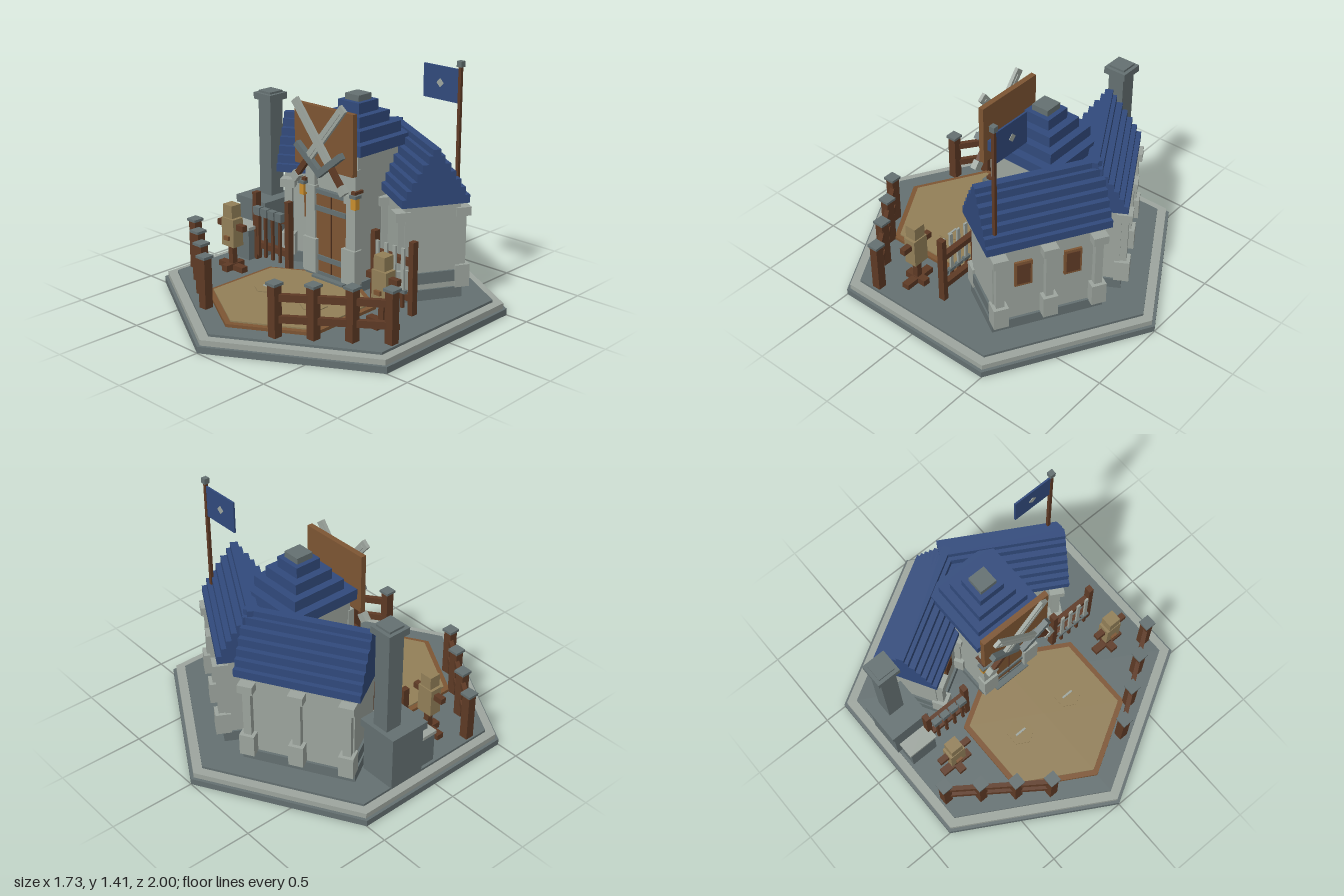
import * as THREE from 'three';

const mat = (name, color) => {
  const m = new THREE.MeshStandardMaterial({ color });
  m.name = name;
  return m;
};

export function createModel() {
  const slate = mat('slate', 0x647071), stone = mat('paleStone', 0x9da59e), wood = mat('wood', 0x7d5533),
    darkWood = mat('darkWood', 0x5e3a25), sand = mat('sand', 0x927f58), blue = mat('blueRoof', 0x314a7c),
    gold = mat('lanternGlow', 0xc98d2e);
  const model = new THREE.Group();
  model.name = 'trainingHall';

  const group = (name, parent = model, x = 0, y = 0, z = 0) => {
    const g = new THREE.Group();
    g.name = name;
    g.position.set(x, y, z);
    parent.add(g);
    return g;
  };
  // box given by centre x, z and bottom/top heights
  const box = (parent, name, m, x, z, y0, y1, w, d) => {
    const mesh = new THREE.Mesh(new THREE.BoxGeometry(w, y1 - y0, d), m);
    mesh.name = name;
    mesh.position.set(x, (y0 + y1) / 2, z);
    parent.add(mesh);
    return mesh;
  };
  const hex = (name, m, r0, r1, y0, y1, x = 0, z = 0) => {
    const g = new THREE.CylinderGeometry(r1, r0, y1 - y0, 6).toNonIndexed();
    g.computeVertexNormals();
    const mesh = new THREE.Mesh(g, m);
    mesh.name = name;
    mesh.position.set(x, (y0 + y1) / 2, z);
    model.add(mesh);
  };

  // Ground slabs and sand arena
  hex('lowerSlab', slate, 1, 1, 0, 0.037);
  hex('paleSlab', stone, 0.98, 0.98, 0.037, 0.068);
  hex('courtyard', slate, 0.92, 0.92, 0.068, 0.082);
  hex('arenaRim', wood, 0.48, 0.48, 0.08, 0.1, 0, 0.32);
  hex('arenaSand', sand, 0.445, 0.445, 0.1, 0.108, 0, 0.32);
  for (const s of [-1, 1]) {
    hex('sparringMark', sand, 0.08, 0.08, 0.108, 0.113, s * 0.18, 0.32);
    box(model, 'markLine', stone, s * 0.18, 0.32, 0.113, 0.117, 0.07, 0.012);
  }

  // Two wings set in a chevron, each with pillars and a stepped roof
  for (const s of [-1, 1]) {
    const wing = group(s > 0 ? 'leftWing' : 'rightWing', model, s * 0.275, 0, -0.39);
    wing.rotation.y = -s * Math.PI / 6;
    box(wing, 'plinth', slate, 0, 0, 0.08, 0.145, 0.64, 0.35);
    box(wing, 'walls', stone, 0, 0, 0.145, 0.66, 0.62, 0.32);
    box(wing, 'endBand', slate, s * 0.312, 0, 0.18, 0.245, 0.02, 0.26);
    for (const side of [-1, 1]) for (const t of [-0.28, 0, 0.28]) {
      const pillar = group('pillar', wing, t, 0, side * 0.175);
      box(pillar, 'pillarBase', stone, 0, 0, 0.14, 0.27, 0.085, 0.085);
      box(pillar, 'pillarShaft', stone, 0, 0, 0.27, 0.56, 0.045, 0.045);
      box(pillar, 'pillarCap', stone, 0, 0, 0.555, 0.605, 0.085, 0.085);
    }
    for (const t of [-0.14, 0.14]) {
      box(wing, 'windowFrame', wood, t, -s * 0.164, 0.37, 0.53, 0.1, 0.02);
      box(wing, 'windowPane', darkWood, t, -s * 0.175, 0.385, 0.515, 0.075, 0.006);
    }
    [0.195, 0.168, 0.14, 0.11, 0.08, 0.045].forEach((hw, i) =>
      box(wing, 'roofStep', blue, 0, 0, 0.64 + i * 0.0467, 0.64 + (i + 1) * 0.0467, 0.7, hw * 2));
    box(wing, 'ridgeBar', blue, 0, 0, 0.92, 0.955, 0.7, 0.045);
  }

  // Central entrance tower
  const tower = group('tower', model, 0, 0, -0.21);
  box(tower, 'towerPlinth', slate, 0, 0, 0.08, 0.14, 0.4, 0.42);
  box(tower, 'towerWalls', stone, 0, 0, 0.14, 0.89, 0.37, 0.38);
  [0.22, 0.17, 0.125, 0.08].forEach((h, i) =>
    box(tower, 'towerRoofStep', blue, 0, -0.01, 0.88 + i * 0.0625, 0.88 + (i + 1) * 0.0625, h * 2, h * 2));
  box(tower, 'roofCap', slate, 0, -0.01, 1.13, 1.165, 0.105, 0.105);
  box(tower, 'door', wood, 0, 0.19, 0.11, 0.62, 0.235, 0.03);
  box(tower, 'doorSeam', darkWood, 0, 0.207, 0.11, 0.61, 0.007, 0.006);
  for (const y of [0.21, 0.505]) box(tower, 'doorBand', slate, 0, 0.208, y, y + 0.03, 0.235, 0.012);
  box(tower, 'lintel', slate, 0, 0.2, 0.61, 0.635, 0.26, 0.04);
  box(tower, 'doorStep', slate, 0, 0.22, 0.1, 0.12, 0.24, 0.05);
  box(tower, 'signBracket', darkWood, 0, 0.215, 0.84, 0.88, 0.3, 0.06);
  for (const s of [-1, 1]) {
    box(tower, 'doorPillar', stone, s * 0.155, 0.195, 0.14, 0.8, 0.07, 0.04);
    box(tower, 'doorPillarBase', stone, s * 0.15, 0.2, 0.13, 0.335, 0.1, 0.06);
    box(tower, 'doorPillarCap', stone, s * 0.155, 0.2, 0.6, 0.65, 0.09, 0.05);
    box(tower, 'lantern', gold, s * 0.198, 0.225, 0.585, 0.65, 0.034, 0.034);
    box(tower, 'lanternCap', slate, s * 0.198, 0.225, 0.65, 0.668, 0.048, 0.048);
    box(tower, 'lanternArm', darkWood, s * 0.19, 0.2, 0.668, 0.685, 0.03, 0.07);
  }

  // Sign board with crossed swords
  box(model, 'signBoard', wood, 0, 0.043, 0.78, 1.13, 0.44, 0.032);
  for (const s of [-1, 1]) {
    const sword = group('crossedSword', model, s * 0.093, 0.833, s > 0 ? 0.105 : 0.08);
    sword.rotation.z = s * 0.677;
    box(sword, 'blade', stone, 0, 0, 0, 0.42, 0.05, 0.02);
    box(sword, 'bladeRidge', stone, 0, 0, 0, 0.39, 0.016, 0.028);
    box(sword, 'guard', slate, 0, 0, -0.018, 0.018, 0.23, 0.034);
    box(sword, 'grip', darkWood, 0, 0, -0.13, -0.018, 0.032, 0.026);
    box(sword, 'pommel', stone, 0, 0, -0.18, -0.13, 0.05, 0.036);
  }

  // Forge and chimney
  const forge = group('forge', model, -0.695, 0, -0.16);
  box(forge, 'forgeBase', slate, 0, 0, 0.08, 0.38, 0.22, 0.22);
  box(forge, 'forgeSlab', slate, 0, 0, 0.38, 0.425, 0.25, 0.25);
  box(forge, 'chimneyShaft', slate, 0, -0.05, 0.42, 1.01, 0.1, 0.1);
  box(forge, 'chimneyCap', slate, 0, -0.05, 1.01, 1.05, 0.14, 0.14);
  box(forge, 'chimneyTop', slate, 0, -0.05, 1.05, 1.062, 0.1, 0.1);
  box(forge, 'hearth', slate, 0, 0.175, 0.08, 0.27, 0.17, 0.1);
  box(forge, 'hearthTop', stone, 0, 0.18, 0.27, 0.29, 0.19, 0.1);

  // Weapon racks: swords on one side, hammers on the other
  for (const s of [-1, 1]) {
    const rack = group('weaponRack', model, s * 0.47, 0, 0);
    for (const x of [-0.135, 0.135]) box(rack, 'rackPost', darkWood, x, 0, 0.08, 0.5, 0.032, 0.04);
    for (const y of [0.16, 0.36]) box(rack, 'rackRail', darkWood, 0, 0, y, y + 0.035, 0.3, 0.035);
    for (const x of [-0.09, -0.03, 0.03, 0.09]) {
      if (s > 0) {
        box(rack, 'rackBlade', stone, x, 0.03, 0.22, 0.46, 0.022, 0.012);
        box(rack, 'rackGuard', slate, x, 0.03, 0.205, 0.225, 0.05, 0.022);
        box(rack, 'rackGrip', darkWood, x, 0.03, 0.12, 0.205, 0.016, 0.016);
      } else {
        box(rack, 'hammerHandle', darkWood, x, 0.03, 0.12, 0.4, 0.016, 0.016);
        box(rack, 'hammerHead', slate, x, 0.03, 0.375, 0.425, 0.05, 0.036);
      }
    }
  }

  // Training dummies
  for (const s of [-1, 1]) {
    const dummy = group('trainingDummy', model, s * 0.585, 0, 0.215);
    box(dummy, 'footBeam', darkWood, 0, 0, 0.08, 0.115, 0.2, 0.045);
    box(dummy, 'footBeam', darkWood, 0, 0, 0.08, 0.12, 0.045, 0.14);
    box(dummy, 'post', darkWood, 0, 0, 0.11, 0.42, 0.035, 0.035);
    box(dummy, 'torso', sand, 0, 0, 0.23, 0.4, 0.1, 0.075);
    box(dummy, 'head', sand, 0, 0, 0.405, 0.482, 0.075, 0.07);
    box(dummy, 'arms', darkWood, 0, 0, 0.335, 0.37, 0.215, 0.035);
    box(dummy, 'belt', wood, 0, 0.042, 0.27, 0.295, 0.04, 0.02);
  }

  // Fences along the two front edges
  for (const s of [-1, 1]) {
    const fence = group('fence');
    for (let i = 0; i < 4; i++) {
      const x = s * (0.76 - i * 0.1633), z = 0.345 + i * 0.118;
      box(fence, 'fencePost', darkWood, x, z, 0.08, 0.37, 0.052, 0.052);
      box(fence, 'fenceCap', slate, x, z, 0.37, 0.385, 0.068, 0.068);
    }
    for (const y of [0.162, 0.282])
      box(fence, 'fenceRail', darkWood, s * 0.515, 0.522, y, y + 0.04, 0.6, 0.026).rotation.y = s * Math.atan2(0.118, 0.1633);
  }

  // Flag
  const flag = group('flag', model, 0.595, 0, -0.37);
  box(flag, 'flagPole', darkWood, 0, 0, 0.7, 1.385, 0.018, 0.018);
  box(flag, 'poleCap', slate, 0, 0, 1.38, 1.412, 0.032, 0.032);
  box(flag, 'flagCloth', blue, -0.128, 0, 1.18, 1.365, 0.24, 0.01);
  box(flag, 'flagMark', stone, -0.132, 0, 1.255, 1.29, 0.035, 0.016).rotation.z = Math.PI / 4;

  return model;
}
